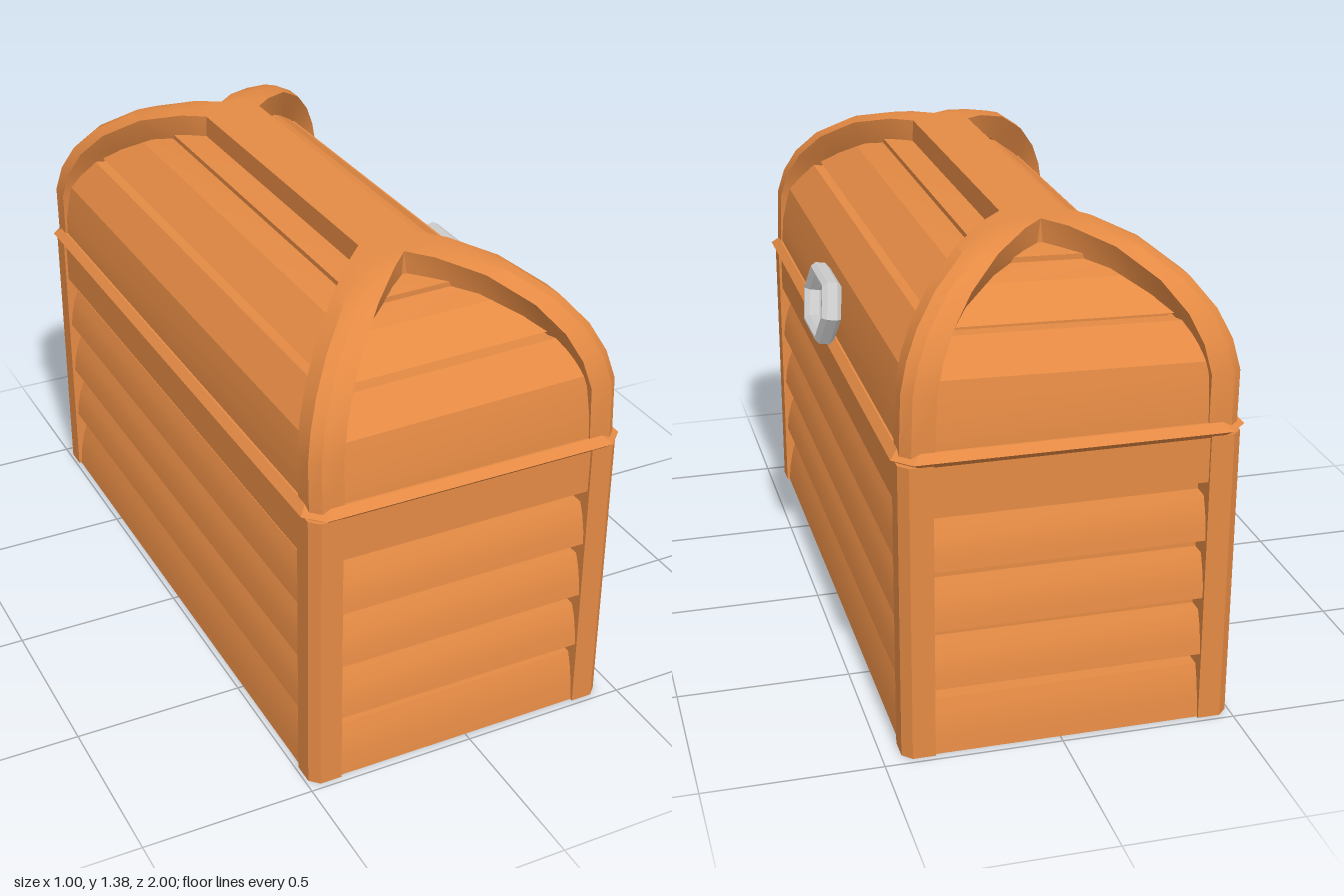
import * as THREE from 'three';
import { toCreasedNormals } from 'three/addons/utils/BufferGeometryUtils.js';

const CX = -0.0225;  // middle of the chest in x
const DZ = 0.515;    // how much longer the half depth is than the half width
const wood = new THREE.MeshStandardMaterial({ color: 0xe48a44 });
const metal = new THREE.MeshStandardMaterial({ color: 0xcccccc });

// Joins rings of [x, y, z] points, stacked upwards, into a capped solid
function loft(rings, crease = 0.5) {
  const n = rings[0].length, last = (rings.length - 1) * n, index = [];
  for (let i = 0; i < last; i += n) {
    for (let j = 0; j < n; j++) {
      const k = (j + 1) % n;
      index.push(i + j, i + k, i + n + k, i + j, i + n + k, i + n + j);
    }
  }
  for (let j = 1; j < n - 1; j++) index.push(0, j + 1, j, last, last + j, last + j + 1);
  const g = new THREE.BufferGeometry();
  g.setAttribute('position', new THREE.Float32BufferAttribute(rings.flat(2), 3));
  g.setIndex(index);
  return toCreasedNormals(g, crease);
}

// Horizontal chamfered rectangle of half width d at height y
function rectRing(d, y, c) {
  const z = d + DZ;
  return [
    [-d + c, y, z], [d - c, y, z], [d, y, z - c], [d, y, -z + c],
    [d - c, y, -z], [-d + c, y, -z], [-d, y, -z + c], [-d, y, z - c],
  ];
}
const shell = (profile, c, crease) => loft(profile.map(([d, y]) => rectRing(d, y, c)), crease);

// Mirrors a corner ring into the quadrant sx, sz, keeping faces outward
function mirrorRing(ring, sx, sz) {
  const r = ring.map(([x, y, z]) => [x * sx, y, z * sz]);
  return sx * sz < 0 ? r.reverse() : r;
}

export function createModel() {
  const model = new THREE.Group();
  const body = new THREE.Group();
  body.name = 'body';
  body.position.x = CX;

  // The lid sits very slightly askew on the body
  const lid = new THREE.Group();
  lid.name = 'lid';
  const pivot = 0.875;
  lid.position.set(CX, pivot, 0);
  lid.rotation.z = 0.024;
  model.add(body, lid);

  const add = (parent, name, geometry, material = wood) => {
    const mesh = new THREE.Mesh(geometry, material);
    mesh.name = name;
    parent.add(mesh);
    return mesh;
  };
  const addLid = (name, geometry) => add(lid, name, geometry.translate(0, -pivot, 0));

  // Recessed walls and floor
  add(body, 'innerWalls', shell([[0.388, 0], [0.388, 0.87]], 0.01));

  // Four courses of planks leaning back towards the top, and an upright top course
  [[0, 0.155], [0.2, 0.325], [0.375, 0.5], [0.55, 0.673]].forEach(([y0, y1], i) => {
    const h = y1 - y0;
    add(body, 'plankCourse' + (i + 1), shell([
      [0.38, y0], [0.46, y0], [0.455, y0 + h * 0.35], [0.445, y0 + h * 0.7], [0.43, y1], [0.38, y1],
    ], 0.03));
  });
  add(body, 'topCourse', shell([[0.38, 0.724], [0.46, 0.724], [0.46, 0.87]], 0.03));

  // Rim between body and lid
  add(body, 'rim', shell([[0.4, 0.853], [0.46, 0.853], [0.483, 0.873], [0.461, 0.895], [0.4, 0.895]], 0.05));

  // Domed lid of stepped boards
  addLid('lidBoards', shell([
    [0.456, 0.875], [0.452, 0.96], [0.43, 1.068], [0.355, 1.16], [0.31, 1.158], [0.31, 1.172],
    [0.335, 1.174], [0.235, 1.252], [0.15, 1.278], [0.165, 1.282], [0.165, 1.297], [0.06, 1.315],
  ], 0.02, 0.3));

  // Corner posts and the arched ribs that continue them over the lid
  const w = 0.09, c = 0.026, t = 0.08;
  const outer = (d, y) => [[d - w, y, d + DZ], [d - c, y, d + DZ], [d, y, d + DZ - c], [d, y, d + DZ - w]];
  const postRing = (y) => [...outer(0.468, y), [0.468 - w, y, 0.468 + DZ - w]];
  const arch = [
    [0.461, 0.87], [0.459, 1.04], [0.44, 1.12], [0.405, 1.195], [0.345, 1.27],
    [0.25, 1.338], [0.15, 1.371], [w, 1.377],
  ];
  const ribRings = arch.map(([d, y], i) => {
    const a = arch[Math.max(i - 1, 0)], b = arch[Math.min(i + 1, arch.length - 1)];
    const len = Math.hypot(b[0] - a[0], b[1] - a[1]);
    const dIn = d - t * (b[1] - a[1]) / len, yIn = y - t * (a[0] - b[0]) / len;
    return [...outer(d, y), [dIn, yIn, d + DZ - w], [d - w, yIn, dIn + DZ]];
  });
  for (const sx of [-1, 1]) {
    for (const sz of [-1, 1]) {
      const corner = (sz > 0 ? 'front' : 'back') + (sx > 0 ? 'Left' : 'Right');
      add(body, corner + 'Post', loft([postRing(0), postRing(0.86)].map((r) => mirrorRing(r, sx, sz))));
      addLid(corner + 'Rib', loft(ribRings.map((r) => mirrorRing(r, sx, sz)), 0.4));
    }
  }

  // Flat ridge beam joining the ribs
  addLid('ridgeBeam', loft([rectRing(w, 1.295, c), rectRing(w, 1.377, c)]));

  // Six-sided metal handle on the left side of the lid
  const hexagon = (a, b, h) => [[a, 0], [b, h], [-b, h], [-a, 0], [-b, -h], [b, -h]]
    .map(([x, y]) => new THREE.Vector2(x, y));
  const shape = new THREE.Shape(hexagon(0.145, 0.092, 0.084));
  shape.holes.push(new THREE.Path(hexagon(0.136, 0.087, 0.078)));
  const ring = new THREE.ExtrudeGeometry(shape, {
    depth: 0.03, bevelEnabled: true, bevelSegments: 1, bevelSize: 0.011, bevelThickness: 0.014,
  });
  ring.translate(0, 0, -0.015).rotateY(Math.PI / 2);
  const handle = add(body, 'handle', ring, metal);
  handle.position.set(0.457 - CX, 0.975, 0);
  handle.rotation.z = 0.16;

  return model;
}
